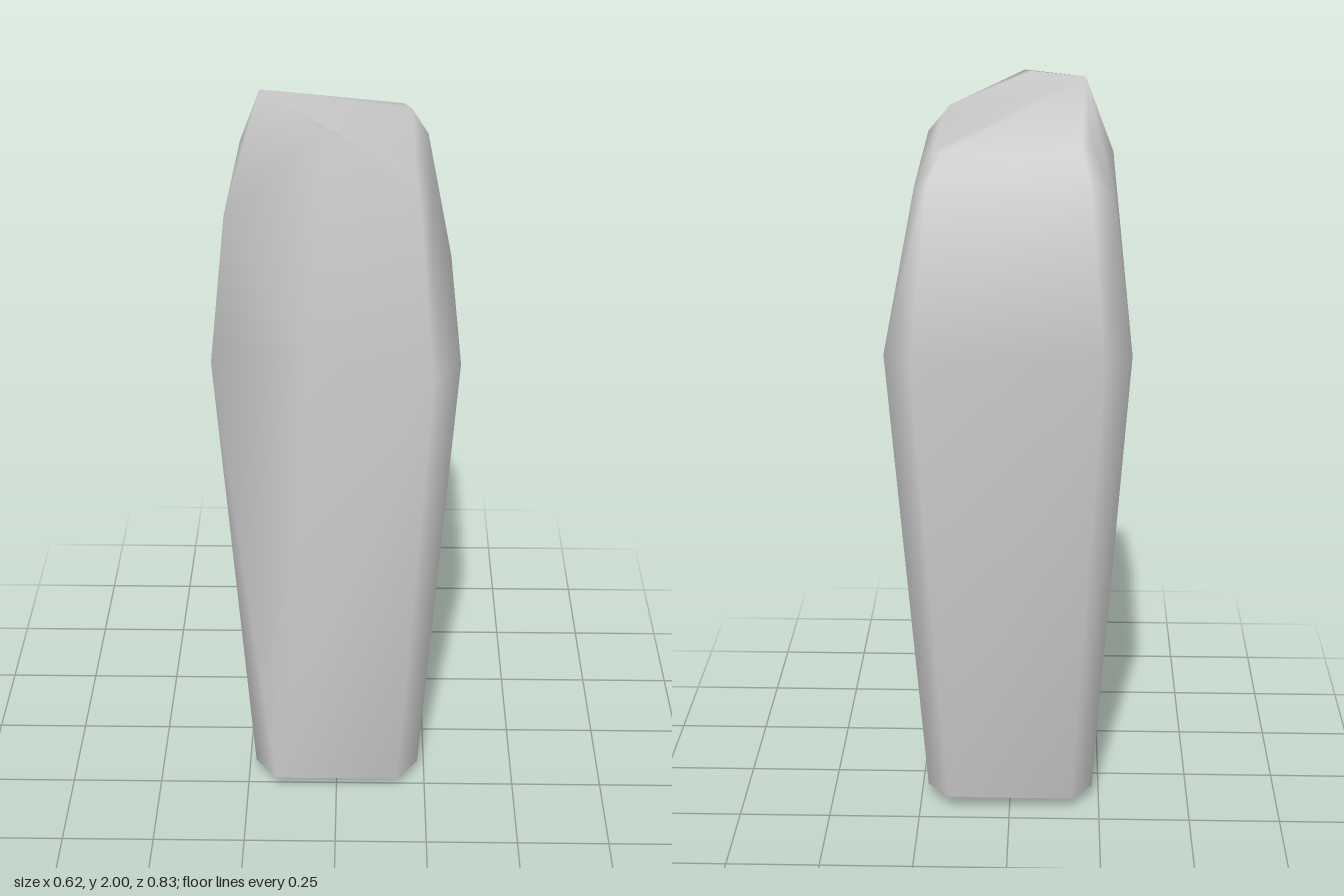
import * as THREE from 'three';
import { mergeVertices } from 'three/addons/utils/BufferGeometryUtils.js';

// Octagonal cross-sections from the base to the broken top.
// Order: +x front, front +x, front -x, -x front, -x back, back -x, back +x, +x back
const SECTIONS = [
  [[.155, 0, .16], [.13, 0, .2], [-.13, 0, .2], [-.155, 0, .16],
    [-.155, 0, -.1], [-.13, 0, -.14], [.13, 0, -.14], [.155, 0, -.1]],
  [[.23, .04, .2], [.17, .04, .28], [-.17, .04, .28], [-.23, .04, .2],
    [-.23, .04, -.14], [-.17, .04, -.21], [.17, .04, -.21], [.23, .04, -.14]],
  [[.31, 1.38, .32], [.24, 1.38, .412], [-.08, 1.38, .29], [-.31, 1.38, .32],
    [-.31, 1.38, -.34], [-.24, 1.38, -.415], [.24, 1.38, -.415], [.31, 1.38, -.34]],
  [[.23, 1.82, .26], [.2, 1.82, .34], [-.03, 1.98, .29], [-.27, 1.76, .29],
    [-.26, 1.76, -.22], [-.2, 1.8, -.285], [.2, 1.8, -.285], [.235, 1.78, -.22]],
  [[.19, 1.87, .24], [.175, 1.88, .31], [-.05, 1.98, .27], [-.19, 2, .07],
    [-.2, 1.89, -.18], [-.18, 1.87, -.22], [.17, 1.86, -.23], [.19, 1.86, -.19]],
];
const HOLE = { y: .655, z: .02, sides: 10 };

// half-width of the tapering side faces at height y
const sideX = y => .23 + .08 * (y - .04) / 1.34;

// One point of a hole ring as [z, y]
function holePoint(k, rz, ry) {
  const a = (k % HOLE.sides) / HOLE.sides * Math.PI * 2;
  return [HOLE.z + rz * Math.cos(a), HOLE.y + ry * Math.sin(a)];
}

export function createModel() {
  const soup = [];
  const tri = (a, b, c) => soup.push(...a, ...b, ...c);
  const quad = (a, b, c, d) => { tri(a, b, c); tri(a, c, d); };

  // Walls between neighbouring sections
  for (let s = 0; s < SECTIONS.length - 1; s++) {
    const lo = SECTIONS[s], hi = SECTIONS[s + 1];
    for (let i = 0; i < 8; i++) {
      if (s === 1 && (i === 3 || i === 7)) continue; // pierced sides, below
      const j = (i + 1) % 8;
      if (i === 2 || i === 7) quad(lo[i], hi[i], hi[j], lo[j]);
      else quad(lo[j], lo[i], hi[i], hi[j]);
    }
  }

  // Base and sloping top
  const base = SECTIONS[0], top = SECTIONS[4];
  for (let i = 1; i < 7; i++) {
    tri(base[0], base[i], base[i + 1]);
    tri(top[3], top[(3 + i + 1) % 8], top[(3 + i) % 8]);
  }

  // Pierced side faces
  const outline = [[.2, .04], [.32, 1.38], [-.34, 1.38], [-.14, .04]];
  const rim = Array.from({ length: HOLE.sides }, (_, k) => holePoint(k, .137, .12));
  const vec = p => new THREE.Vector2(...p);
  const shape = new THREE.Shape(outline.map(vec));
  shape.holes.push(new THREE.Path(rim.map(vec)));
  const plate = new THREE.ShapeGeometry(shape).toNonIndexed().attributes.position;
  for (const side of [1, -1]) {
    for (let t = 0; t < plate.count; t += 3) {
      const [a, b, c] = [0, 1, 2].map(n => {
        const z = plate.getX(t + n), y = plate.getY(t + n);
        return [side * sideX(y), y, z];
      });
      if (side > 0) tri(a, c, b);
      else tri(a, b, c);
    }
  }

  // Bore with softened rims
  const boreRings = [[1, 0, .137, .12], [1, .035, .112, .095], [-1, .035, .112, .095], [-1, 0, .137, .12]];
  const borePoint = ([side, inset, rz, ry], k) => {
    const [z, y] = holePoint(k, rz, ry);
    return [side * (sideX(y) - inset), y, z];
  };
  for (let r = 0; r < 3; r++) {
    for (let k = 0; k < HOLE.sides; k++) {
      quad(borePoint(boreRings[r], k + 1), borePoint(boreRings[r], k),
        borePoint(boreRings[r + 1], k), borePoint(boreRings[r + 1], k + 1));
    }
  }

  // Weld everything for soft, rounded shading
  let geometry = new THREE.BufferGeometry();
  geometry.setAttribute('position', new THREE.Float32BufferAttribute(soup, 3));
  geometry = mergeVertices(geometry, 1e-4);
  geometry.computeVertexNormals();

  const stone = new THREE.Mesh(geometry, new THREE.MeshStandardMaterial({ color: 0xcccccc }));
  stone.name = 'piercedStone';
  const group = new THREE.Group();
  group.name = 'stonePendant';
  group.add(stone);
  return group;
}
